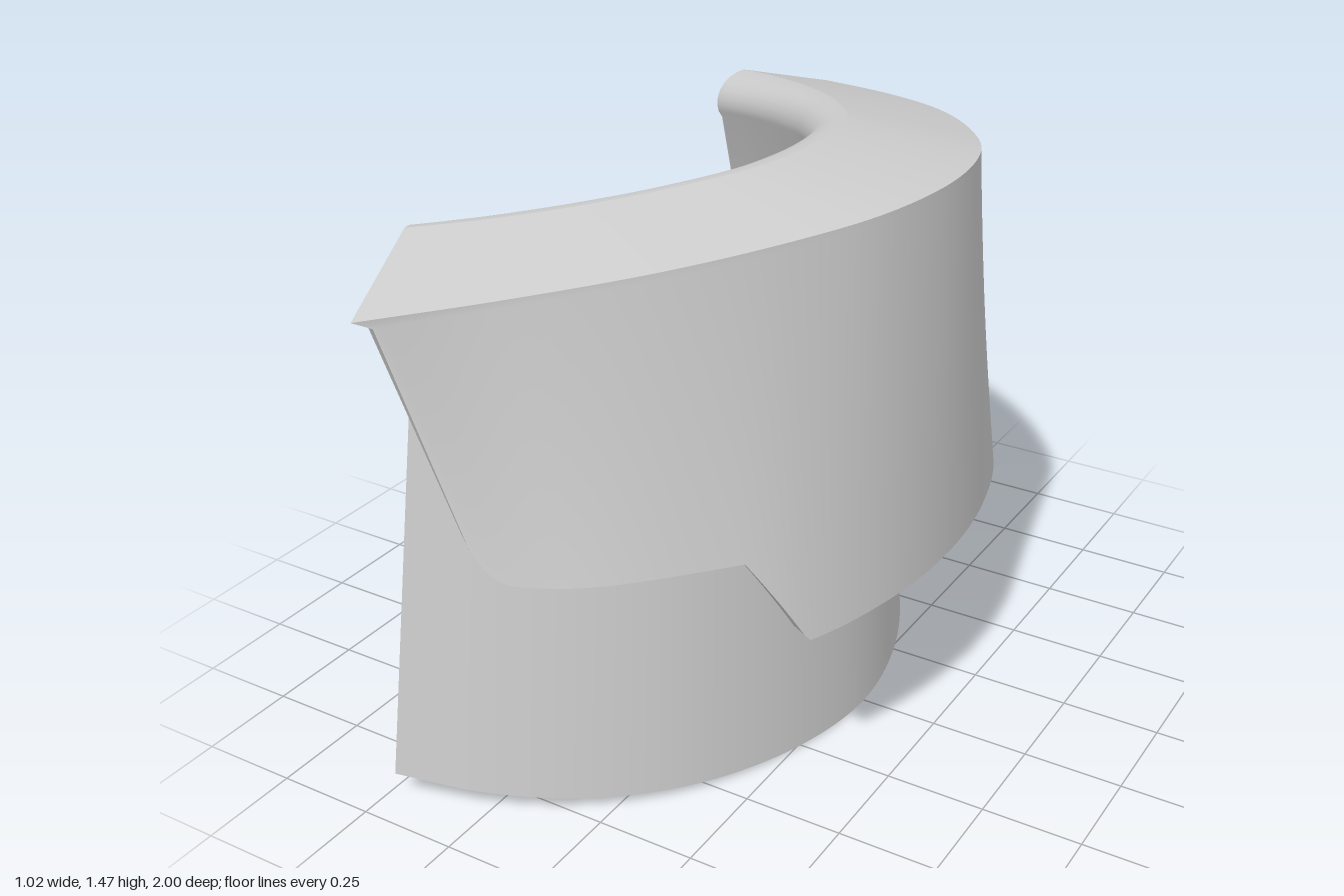
import * as THREE from 'three';
import { toCreasedNormals } from 'three/addons/utils/BufferGeometryUtils.js';

const STATIONS = 160;
const V = (x, y, z) => new THREE.Vector3(x, y, z);

// Plan curve mirrored about z = 0, given as [x, z] from the apex to the +z end
function planCurve(half, yOf) {
  const side = half.map(([x, z]) => V(x, yOf(x), z));
  const mirror = half.slice(1).reverse().map(([x, z]) => V(x, yOf(x), -z));
  return new THREE.CatmullRomCurve3([...mirror, ...side]);
}

const rimInner = planCurve([[0.05, 0], [0.015, 0.19], [-0.1, 0.345], [-0.225, 0.45], [-0.365, 0.54], [-0.51, 0.615]],
  x => 1.30 + (x + 0.51) * 0.178);
const topOuter = planCurve([[0.485, 0], [0.44, 0.24], [0.32, 0.44], [0.14, 0.64], [-0.1, 0.825], [-0.38, 1.0]],
  x => 1.285 + (x + 0.38) * 0.179);
const flapLower = planCurve([[0.505, 0], [0.475, 0.25], [0.385, 0.49], [0.24, 0.68], [0.06, 0.86], [-0.12, 0.955]],
  () => 0.72);
const wallBottom = planCurve([[0.3, 0], [0.25, 0.28], [0.12, 0.54], [-0.06, 0.73], [-0.26, 0.85], [-0.47, 0.92]],
  x => (0.3 - x) * 0.091);
const wallBackTop = planCurve([[0.255, 0], [0.21, 0.24], [0.09, 0.46], [-0.06, 0.61], [-0.23, 0.72], [-0.405, 0.79]],
  x => 1.2 + (x + 0.405) * 0.178);

// Height of the flap's lower edge: central tab, straight sides, rounded end corners
function flapBottom(z, s) {
  if (s > 0.93) return 0.72 + 0.08 * (1 - Math.sqrt(1 - ((s - 0.93) / 0.07) ** 2));
  return THREE.MathUtils.clamp(0.5 + (z - 0.48) * 0.22 / 0.12, 0.5, 0.72);
}

// Cross-section at t, split into the strips that make up each part
function section(t) {
  const s = Math.min(1, Math.abs(2 * t - 1)), sign = Math.sign(2 * t - 1);
  const I = rimInner.getPoint(t), O = topOuter.getPoint(t), L = flapLower.getPoint(t);
  const W = wallBottom.getPoint(t), U = wallBackTop.getPoint(t);

  // Thin wall foot with the inner face rising to the rounded rim
  const across = V(O.x - I.x, 0, O.z - I.z).normalize();
  const foot = W.clone().addScaledVector(across, -0.02);
  foot.y += 0.008;
  const rim = [];
  for (let k = 0; k <= 8; k++) {
    const a = -0.6 + (k / 8) * (Math.PI / 2 + 0.6);
    const p = I.clone().addScaledVector(across, 0.095 * (1 - Math.cos(a)));
    p.y += 0.075 * Math.sin(a);
    rim.push(p);
  }

  // Flap face: straight rulings from under the top edge to the lower edge
  const e = s ** 6;
  const F = O.clone().add(V(0.035 * e, -0.015, -0.025 * e * sign));
  const y = flapBottom(Math.abs(L.z), s);
  const low = F.clone().lerp(L, (F.y - y) / (F.y - L.y));
  const inset = V(-0.035 - 0.035 * s * s, 0, -0.055 * s * sign);
  const lowIn = low.clone().add(inset), highIn = F.clone().add(inset);
  highIn.y -= 0.02;

  return {
    innerWall: [U, W, foot, ...rim],
    topBand: [rim[8], O],
    outerFlap: [O, F, low, lowIn, highIn],
    underside: [highIn, U],
  };
}

function makeMesh(name, positions) {
  let g = new THREE.BufferGeometry();
  g.setAttribute('position', new THREE.Float32BufferAttribute(positions, 3));
  g = toCreasedNormals(g, 0.6);
  const mesh = new THREE.Mesh(g, new THREE.MeshStandardMaterial({ color: 0xcccccc, side: THREE.DoubleSide }));
  mesh.name = name;
  return mesh;
}

// Skin one strip along all the stations
function loft(name, sections) {
  const out = [];
  for (let i = 0; i < sections.length - 1; i++) {
    const A = sections[i][name], B = sections[i + 1][name];
    for (let j = 0; j < A.length - 1; j++) {
      for (const p of [A[j], B[j], A[j + 1], B[j], B[j + 1], A[j + 1]]) out.push(p.x, p.y, p.z);
    }
  }
  return makeMesh(name, out);
}

// Close one end with the full section outline
function endCap(name, sec) {
  const pts = [...sec.innerWall, ...sec.outerFlap];
  const flat = pts.map(p => new THREE.Vector2(p.z, p.y));
  const out = [];
  for (const [a, b, c] of THREE.ShapeUtils.triangulateShape(flat, [])) {
    const ccw = THREE.ShapeUtils.area([flat[a], flat[b], flat[c]]) > 0;
    for (const k of ccw ? [a, b, c] : [a, c, b]) out.push(pts[k].x, pts[k].y, pts[k].z);
  }
  return makeMesh(name, out);
}

export function createModel() {
  const group = new THREE.Group();
  group.name = 'curvedCollar';
  const sections = [];
  for (let i = 0; i <= STATIONS; i++) sections.push(section(i / STATIONS));
  for (const part of ['innerWall', 'topBand', 'outerFlap', 'underside']) group.add(loft(part, sections));
  group.add(endCap('rightEndCap', sections[0]), endCap('leftEndCap', sections[STATIONS]));
  return group;
}
